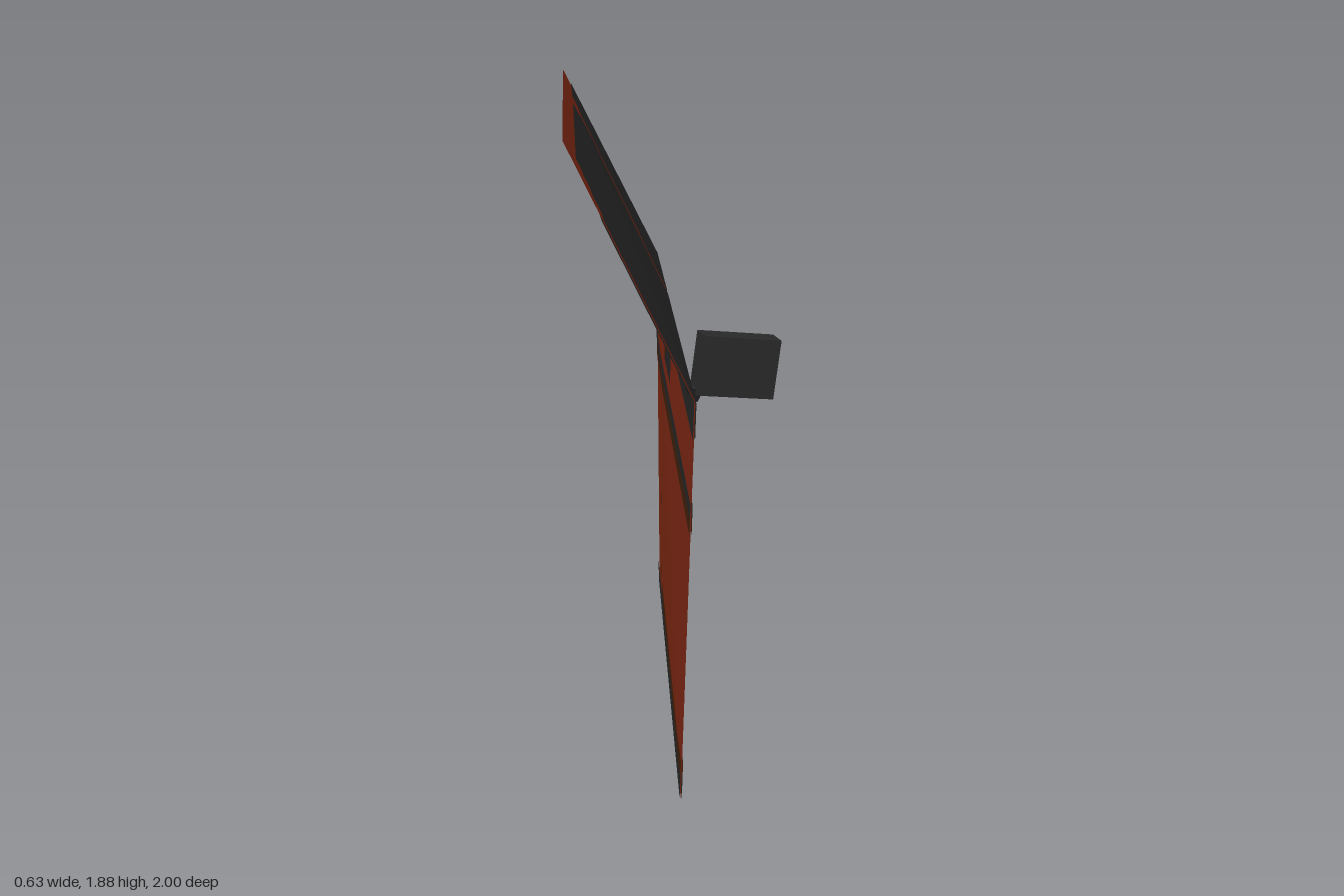
import * as THREE from 'three';

const mat = (name, color) => new THREE.MeshStandardMaterial({ name, color, side: THREE.DoubleSide });

// Corners of the folded door skin
const V = (x, y, z) => new THREE.Vector3(x, y, z);
const beltFront = V(0.07, 1.19, 1), beltRear = V(0.02, 1.18, -1);
const sillFront = V(0.035, 0.005, 0.985), sillRear = V(0.02, 0.03, -0.63);
const roofFront = V(-0.28, 1.875, 0.835), roofRear = V(-0.315, 1.88, -0.82);

// Flat facets of the skin, each with a normal facing outward (+x)
const facets = [
  [beltFront, roofFront, roofRear],
  [beltFront, roofRear, beltRear],
  [beltFront, beltRear, sillFront],
  [beltRear, sillRear, sillFront],
].map((pts) => {
  const plane = new THREE.Plane().setFromCoplanarPoints(...pts);
  if (plane.normal.x < 0) plane.negate();
  const outline = pts.map((p) => new THREE.Vector2(p.z, p.y));
  if (THREE.ShapeUtils.area(outline) < 0) outline.reverse();
  return { plane, outline };
});

// Cut a (z, y) polygon down to a convex facet outline
function clip(poly, outline) {
  outline.forEach((a, i) => {
    const b = outline[(i + 1) % outline.length];
    const side = (p) => (b.x - a.x) * (p.y - a.y) - (b.y - a.y) * (p.x - a.x);
    const out = [];
    poly.forEach((p, j) => {
      const q = poly[(j + 1) % poly.length];
      const sp = side(p), sq = side(q);
      if (sp >= 0) out.push(p);
      if ((sp >= 0) !== (sq >= 0)) out.push(p.clone().lerp(q, sp / (sp - sq)));
    });
    poly = out;
  });
  return poly;
}

// Lay a (z, y) polygon onto the skin at the given offsets along its normal
function onSkin(points, offsets) {
  const pos = [];
  const source = points.map(([z, y]) => new THREE.Vector2(z, y));
  for (const { plane, outline } of facets) {
    const poly = clip(source, outline);
    if (poly.length < 3) continue;
    const n = plane.normal;
    const tris = THREE.ShapeUtils.triangulateShape(poly, []);
    for (const off of offsets) {
      for (const t of tris) {
        const corners = t.map((k) => {
          const p = poly[k];
          const x = -(plane.constant + n.y * p.y + n.z * p.x) / n.x;
          return V(x, p.y, p.x).addScaledVector(n, off);
        });
        const facing = corners[1].clone().sub(corners[0]).cross(corners[2].clone().sub(corners[0])).x;
        if ((facing < 0) !== (off < 0)) corners.reverse();
        corners.forEach((c) => pos.push(c.x, c.y, c.z));
      }
    }
  }
  const g = new THREE.BufferGeometry();
  g.setAttribute('position', new THREE.Float32BufferAttribute(pos, 3));
  g.computeVertexNormals();
  return g;
}

const rect = (z1, z2, y1, y2) => [[z1, y1], [z2, y1], [z2, y2], [z1, y2]];

export function createModel() {
  const group = new THREE.Group();
  const paint = mat('rust red paint', 0x842a14);
  const black = mat('black trim', 0x2a2a2a);
  const brown = mat('dark brown shade', 0x45240f);

  const add = (name, geometry, material) => {
    const m = new THREE.Mesh(geometry, material);
    m.name = name;
    group.add(m);
    return m;
  };
  // Painted details show on both faces of the sheet
  const detail = (name, points, material) => add(name, onSkin(points, [0.003, -0.003]), material);

  // Painted door skin
  add('doorSkin', onSkin(rect(-1.1, 1.1, -0.1, 2), [0]), paint);

  // Windows, reaching just below the belt line
  detail('frontWindow', [
    [1.1, 1.084], [1.1, 1.66], [0.87, 1.67], [0.83, 1.68], [0.83, 1.72], [0.78, 1.74], [0.78, 1.77],
    [0.74, 1.78], [0.74, 1.81], [-0.36, 1.82], [-0.36, 1.78], [-0.405, 1.77], [-0.405, 1.65],
    [-0.365, 1.64], [-0.365, 1.33], [-0.32, 1.32], [-0.32, 1.15], [-0.275, 1.14], [-0.28, 1.1],
  ], black);
  detail('rearWindow', [
    [-0.5, 1.825], [-1.1, 1.835], [-1.1, 1.108], [-0.45, 1.1], [-0.42, 1.14], [-0.37, 1.19],
    [-0.37, 1.32], [-0.415, 1.33], [-0.415, 1.64], [-0.455, 1.65], [-0.455, 1.77], [-0.5, 1.79],
  ], black);

  // Side stripe and sill, rising slightly to the rear: [name, z range, front y pair, rear y pair]
  const strip = (name, zf, zr, f, r, m) => detail(name, [[zf, f[0]], [zr, r[0]], [zr, r[1]], [zf, f[1]]], m);
  strip('sideStripe', 1.1, -1.1, [0.857, 0.9], [0.875, 0.92], black);
  strip('sideStripeShade', 1.1, -1.1, [0.81, 0.857], [0.833, 0.875], brown);
  strip('sill', 1.1, -1.1, [-0.1, 0.07], [-0.1, 0.095], black);
  strip('sillShade', 1.1, -0.33, [0.07, 0.12], [0.088, 0.138], brown);

  // Door handle and small marks along the rear shut line
  detail('handle', rect(-0.28, 0, 0.96, 1.048), black);
  detail('handleEnd', rect(-0.32, -0.28, 0.96, 1.048), brown);
  [[-0.34, 1.08], [-0.4, 0.43], [-0.35, 0.17]].forEach(([z, y], i) =>
    detail('shutLineMark' + (i + 1), rect(z - 0.02, z + 0.02, y - 0.02, y + 0.02), brown));

  // Wing mirror on a short stalk
  const mirror = add('wingMirror', new THREE.BoxGeometry(0.225, 0.17, 0.073), black);
  mirror.position.set(0.192, 1.237, 0.777);
  mirror.rotation.set(0, 0.25, -0.13);
  const stalk = add('mirrorStalk', new THREE.CylinderGeometry(0.03, 0.008, 0.045, 4), black);
  stalk.position.set(0.078, 1.16, 0.8);
  return group;
}
